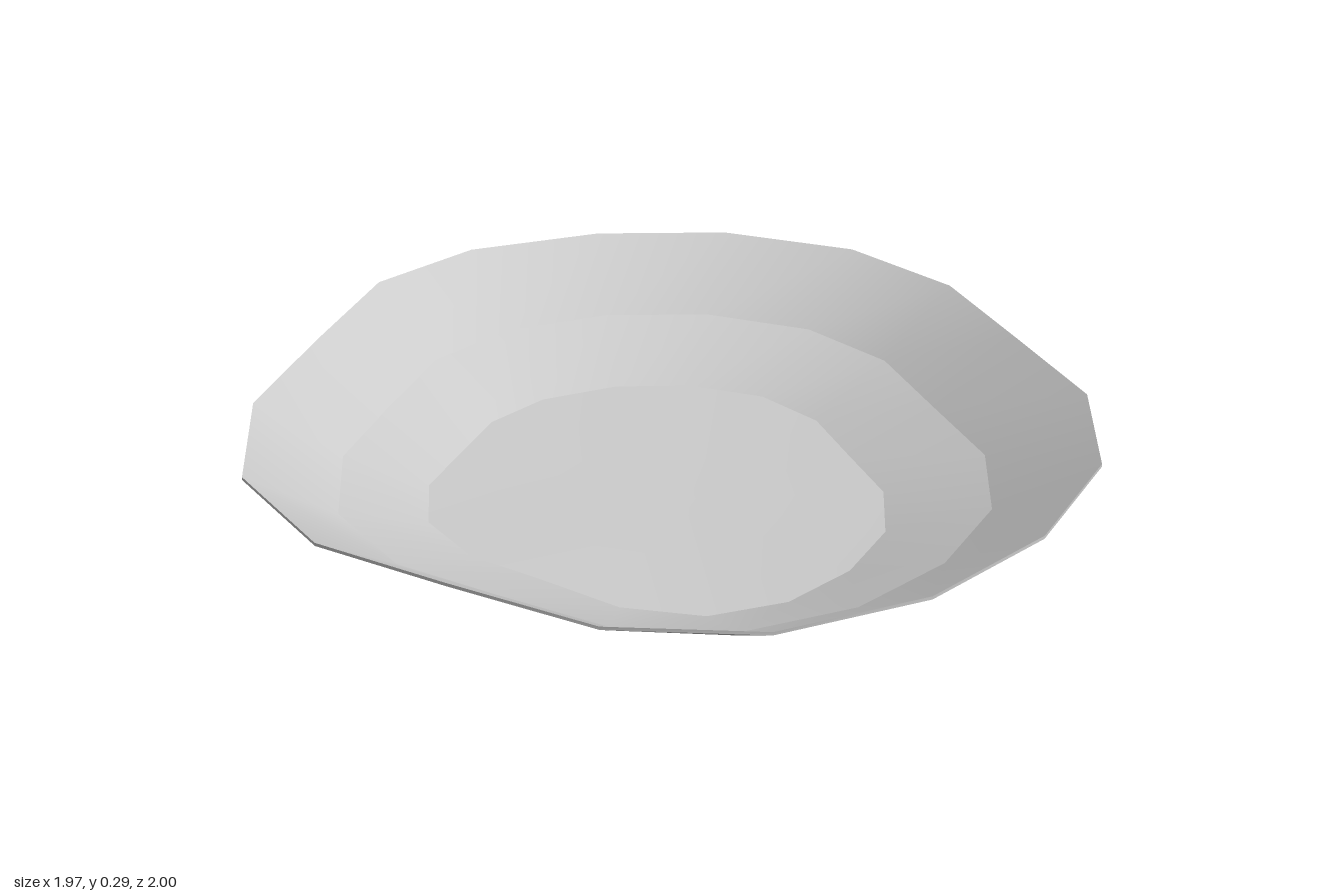
import * as THREE from 'three';

// Uneven rim outline as [x, z], clockwise seen from above
const RIM = [
  [0.135, -1], [0.44, -0.85], [0.67, -0.575], [0.895, -0.31], [0.985, 0.015], [0.92, 0.365],
  [0.745, 0.675], [0.47, 0.905], [0.13, 0.995], [-0.23, 0.94], [-0.56, 0.88], [-0.84, 0.675],
  [-0.98, 0.35], [-0.985, 0], [-0.98, -0.36], [-0.84, -0.65], [-0.56, -0.88], [-0.23, -1],
];
const WALL = 0.008;

// A ring is the rim outline scaled and shifted, with its own height rule
function ring(scale, dx, dz, height) {
  return RIM.map(([x, z]) => new THREE.Vector3(x * scale + dx, height(x, z), z * scale + dz));
}

// Strip between two rings; smooth around, creased against its neighbours
function band(a, b) {
  const n = a.length;
  const index = [];
  for (let i = 0; i < n; i++) {
    const j = (i + 1) % n;
    index.push(i, n + i, j, j, n + i, n + j);
  }
  const geometry = new THREE.BufferGeometry().setFromPoints([...a, ...b]);
  geometry.setIndex(index);
  geometry.computeVertexNormals();
  return geometry;
}

// Shallow base: a fan from the centre to the foot ring
function fan(points, center, up) {
  const n = points.length;
  const index = [];
  for (let i = 0; i < n; i++) {
    const j = (i + 1) % n;
    index.push(n, ...(up ? [j, i] : [i, j]));
  }
  const geometry = new THREE.BufferGeometry().setFromPoints([...points, center]);
  geometry.setIndex(index);
  geometry.computeVertexNormals();
  return geometry;
}

export function createModel() {
  const group = new THREE.Group();
  group.name = 'dish';
  const material = new THREE.MeshStandardMaterial({ color: 0xcccccc });
  const add = (name, geometry) => {
    const mesh = new THREE.Mesh(geometry, material);
    mesh.name = name;
    group.add(mesh);
  };

  // The rim dips at the back; the foot ring is lifted at the front right
  const rimHeight = (x, z) => 0.28 - 0.025 * THREE.MathUtils.smoothstep(-z, 0.3, 1);
  const shoulderHeight = (x, z) => 0.124 + 0.012 * z - 0.004 * x;
  const footHeight = (x, z) => {
    const c = Math.max(0, Math.cos(Math.atan2(z, x) - 2.18));
    return 0.022 + 0.05 * c * c;
  };

  const rim = ring(1, 0, 0, rimHeight);
  const shoulder = ring(0.78, -0.025, 0.01, shoulderHeight);
  const foot = ring(0.555, -0.05, 0.03, footHeight);
  const center = new THREE.Vector3(-0.05, 0, 0.02);

  // Inner skin sits one wall thickness above the outer one
  const lift = (p) => p.clone().setY(p.y + WALL);
  const [rimTop, shoulderTop, footTop] = [rim, shoulder, foot].map((r) => r.map(lift));

  add('outerBase', fan(foot, center, false));
  add('outerLowerWall', band(foot, shoulder));
  add('outerUpperWall', band(shoulder, rim));
  add('lip', band(rim, rimTop));
  add('innerUpperWall', band(rimTop, shoulderTop));
  add('innerLowerWall', band(shoulderTop, footTop));
  add('innerBase', fan(footTop, lift(center), true));
  return group;
}
